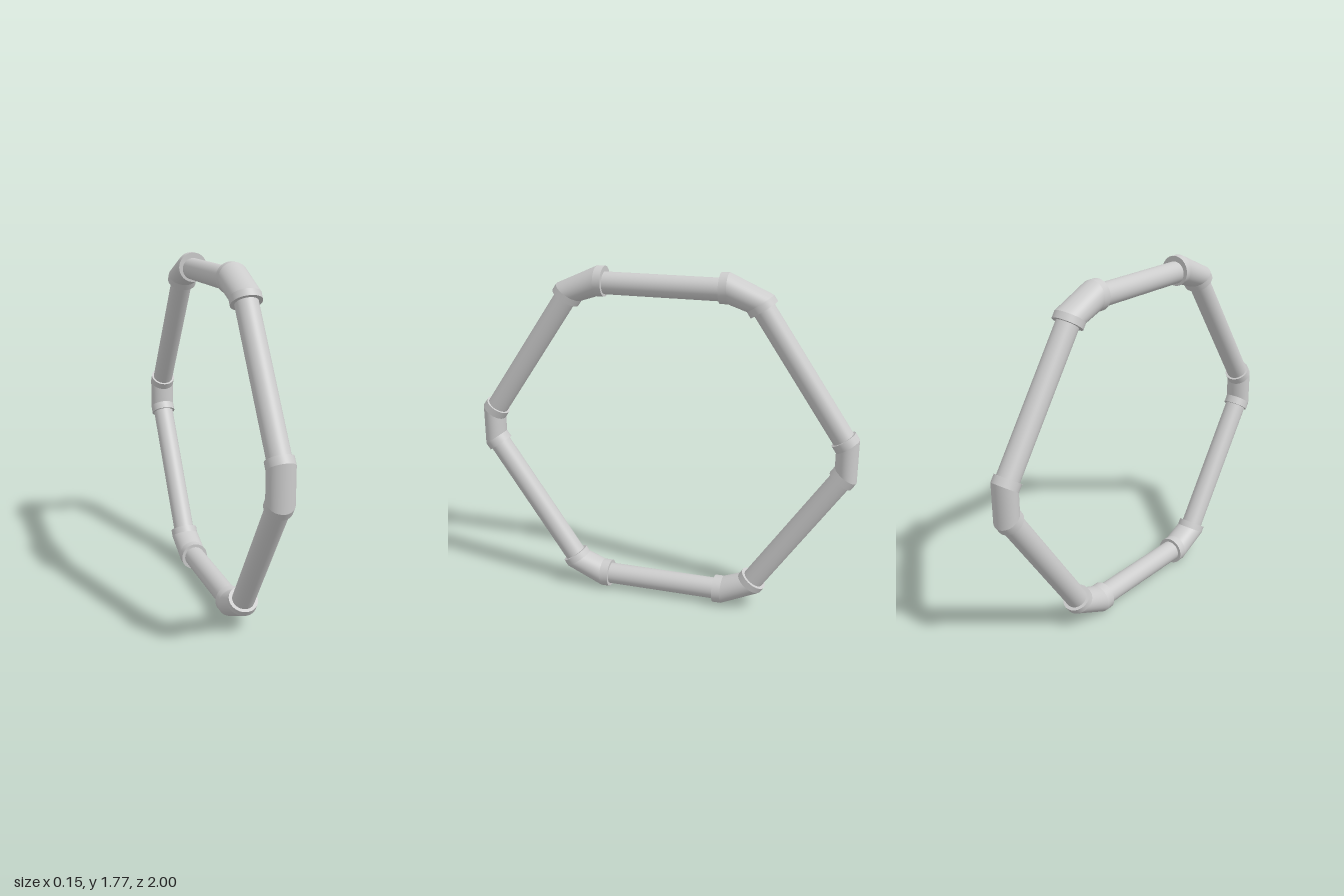
import * as THREE from 'three';

const SIDES = 48;
const PIPE_RADIUS = 0.056;
const material = new THREE.MeshStandardMaterial({ color: 0xcccccc });
const point = (z, y) => new THREE.Vector3(0, y, z);

// Closed tube lofted through rings { center, normal, radius }; every band is smooth, with a crease between bands.
function loftRings(rings) {
  const positions = [], indices = [];
  const addRing = ({ center, normal, radius }) => {
    const start = positions.length / 3;
    const side = new THREE.Vector3().crossVectors(normal, new THREE.Vector3(1, 0, 0)).normalize();
    for (let i = 0; i < SIDES; i++) {
      const t = (i / SIDES) * Math.PI * 2;
      const p = center.clone().addScaledVector(side, radius * Math.sin(t));
      positions.push(p.x + radius * Math.cos(t), p.y, p.z);
    }
    return start;
  };
  for (let k = 0; k < rings.length - 1; k++) {
    const a = addRing(rings[k]), b = addRing(rings[k + 1]);
    for (let i = 0; i < SIDES; i++) {
      const j = (i + 1) % SIDES;
      indices.push(a + i, a + j, b + i, a + j, b + j, b + i);
    }
  }
  // End caps
  [rings[0], rings[rings.length - 1]].forEach((ring, end) => {
    const s = addRing(ring);
    const c = positions.length / 3;
    positions.push(...ring.center.toArray());
    for (let i = 0; i < SIDES; i++) {
      const j = (i + 1) % SIDES;
      if (end) indices.push(c, s + i, s + j);
      else indices.push(c, s + j, s + i);
    }
  });
  const geometry = new THREE.BufferGeometry();
  geometry.setAttribute('position', new THREE.Float32BufferAttribute(positions, 3));
  geometry.setIndex(indices);
  geometry.computeVertexNormals();
  return geometry;
}

export function createModel() {
  const model = new THREE.Group();
  model.name = 'hexagonalPipeFrame';

  // Elbows of the front half: where the run enters and leaves, sleeve lengths and radius
  const frontHalf = [
    { name: 'topElbow', enter: [0.296, 1.699], leave: [0.508, 1.607], inLen: 0.04, outLen: 0.035, radius: 0.076 },
    { name: 'sideElbow', enter: [0.922, 0.996], leave: [0.922, 0.778], inLen: 0.041, outLen: 0.041, radius: 0.067 },
    { name: 'bottomElbow', enter: [0.505, 0.168], leave: [0.294, 0.075], inLen: 0.035, outLen: 0.045, radius: 0.073 },
  ];
  const backHalf = frontHalf.slice().reverse().map((e) => ({
    ...e,
    enter: [-e.leave[0], e.leave[1]], leave: [-e.enter[0], e.enter[1]],
    inLen: e.outLen, outLen: e.inLen,
  }));
  const elbows = [
    ...frontHalf.map((e) => ({ ...e, name: e.name + 'Front' })),
    ...backHalf.map((e) => ({ ...e, name: e.name + 'Back' })),
  ];
  const pipeNames = ['upperFrontPipe', 'lowerFrontPipe', 'bottomPipe', 'lowerBackPipe', 'upperBackPipe', 'topPipe'];

  const count = elbows.length;
  const directions = elbows.map((e, i) =>
    point(...elbows[(i + 1) % count].enter).sub(point(...e.leave)).normalize());

  elbows.forEach((e, i) => {
    const dirIn = directions[(i + count - 1) % count], dirOut = directions[i];
    const enter = point(...e.enter), leave = point(...e.leave);

    // Elbow: two short sleeves joined by a skewed middle section
    const ring = (center, normal) => ({ center, normal, radius: e.radius });
    const elbow = new THREE.Mesh(loftRings([
      ring(enter, dirIn),
      ring(enter.clone().addScaledVector(dirIn, e.inLen), dirIn),
      ring(leave.clone().addScaledVector(dirOut, -e.outLen), dirOut),
      ring(leave, dirOut),
    ]), material);
    elbow.name = e.name;
    model.add(elbow);

    // Straight pipe to the next elbow, tucked slightly into both sleeves
    const next = point(...elbows[(i + 1) % count].enter);
    const pipe = new THREE.Mesh(loftRings([
      { center: leave.clone().addScaledVector(dirOut, -0.01), normal: dirOut, radius: PIPE_RADIUS },
      { center: next.clone().addScaledVector(dirOut, 0.01), normal: dirOut, radius: PIPE_RADIUS },
    ]), material);
    pipe.name = pipeNames[i];
    if (pipe.name === 'topPipe') pipe.position.y = -0.008; // sits low in its sleeves
    model.add(pipe);
  });

  return model;
}
